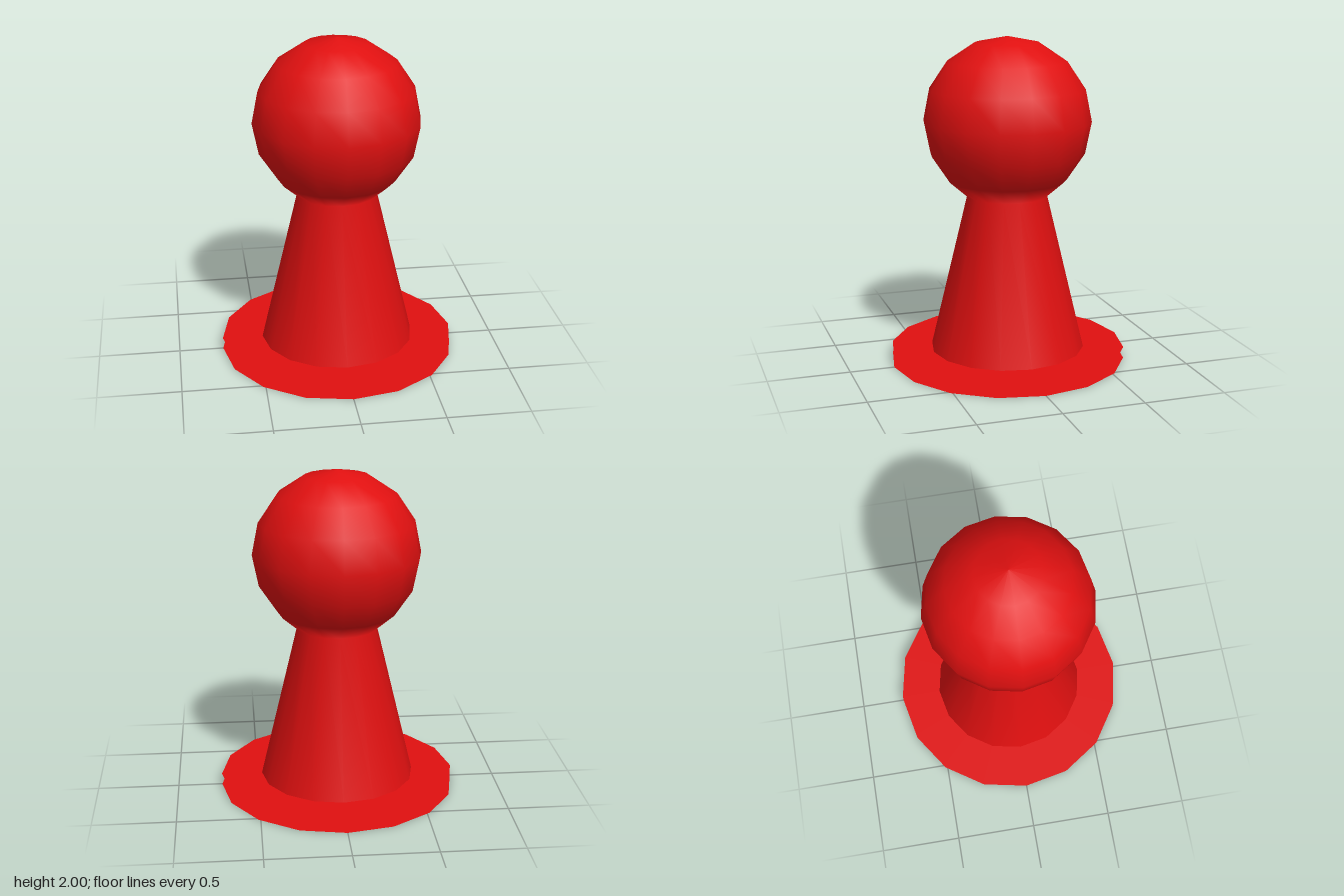
import * as THREE from 'three';

const SIDES = 16;

export function createModel() {
  const group = new THREE.Group();
  group.name = 'gamePawn';

  const red = new THREE.MeshStandardMaterial({ color: 0xe01010, side: THREE.DoubleSide });
  red.name = 'red';

  // Tapered body flowing into the round head, one smooth turned surface
  const headY = 1.49, headR = 0.51;
  const profile = [new THREE.Vector2(0.475, 0.07), new THREE.Vector2(0.245, 1.03)];
  for (let i = 2; i <= 8; i++) {
    const a = (i * Math.PI) / 8;
    const r = i === 8 ? 0 : headR * Math.sin(a);
    profile.push(new THREE.Vector2(r, headY - headR * Math.cos(a)));
  }
  const body = new THREE.Mesh(new THREE.LatheGeometry(profile, SIDES), red);
  body.name = 'bodyAndHead';
  group.add(body);

  // Base: an upper and a lower disc with an open rim
  const addDisc = (name, y, tilt) => {
    const disc = new THREE.Mesh(new THREE.CircleGeometry(0.727, SIDES), red);
    disc.name = name;
    disc.rotation.x = tilt;
    disc.position.y = y;
    group.add(disc);
  };
  addDisc('baseTop', 0.07, -Math.PI / 2);
  addDisc('baseBottom', 0, Math.PI / 2);

  return group;
}
